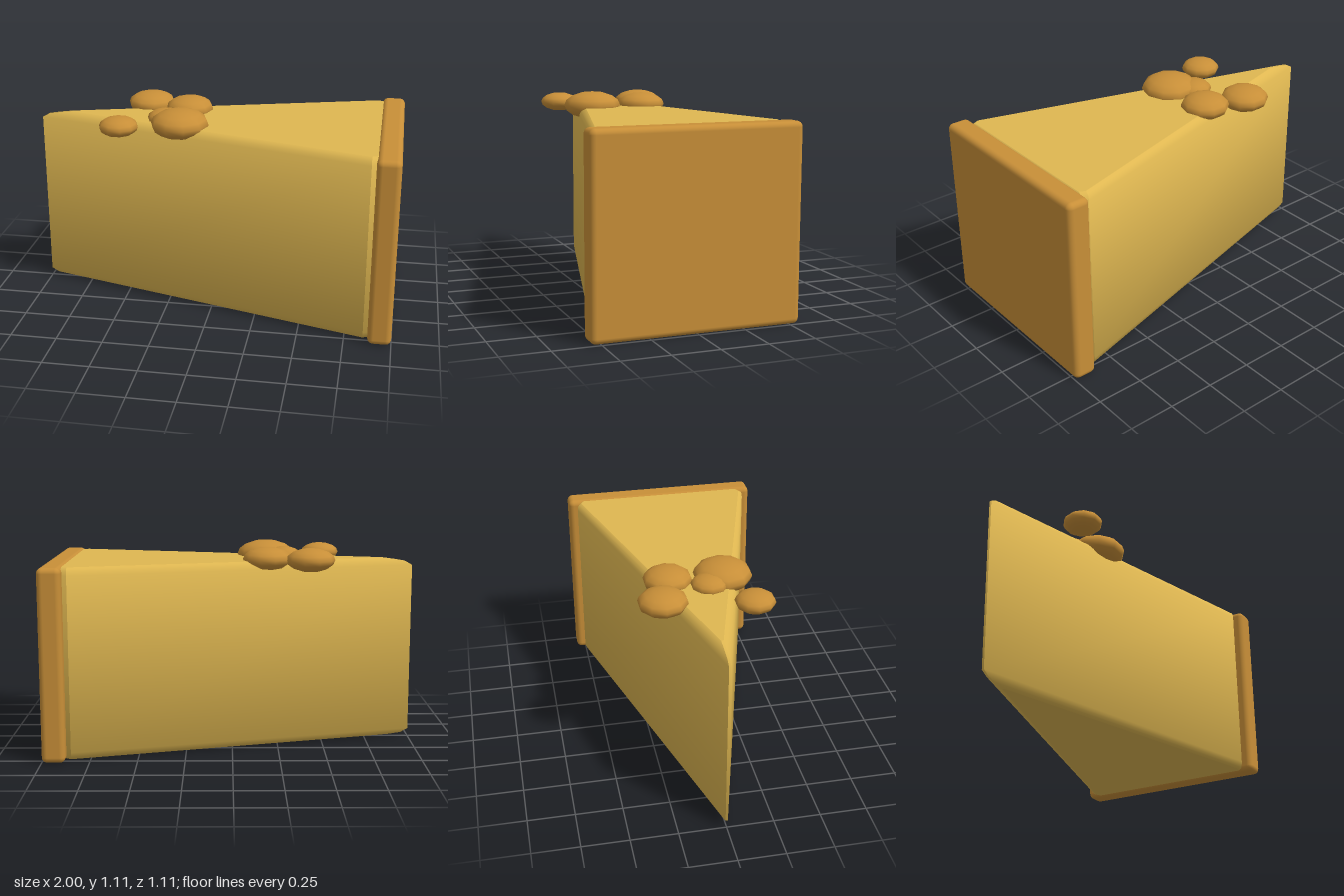
import * as THREE from 'three';
import { RoundedBoxGeometry } from 'three/addons/geometries/RoundedBoxGeometry.js';

const filling = new THREE.MeshStandardMaterial({ name: 'golden filling', color: 0xdfb751 });
const crustBrown = new THREE.MeshStandardMaterial({ name: 'crust brown', color: 0xc88f38 });

// Outline of the slice seen from above: pointed at -x, wide at +x
const outline = (tipX, halfWidth) => [
  [tipX, 0.006], [0.85, halfWidth], [0.88, halfWidth - 0.015],
  [0.88, 0.015 - halfWidth], [0.85, -halfWidth], [tipX, -0.006],
];

// Wedge built from stacked outlines, with softly shaded sides and flat caps
function wedgeGeometry() {
  const layers = [
    [0.005, -0.83, 0.482], [0.012, -0.9, 0.495], [0.022, -0.96, 0.503], [0.045, -1, 0.505],
    [0.98, -1, 0.505], [1.003, -0.96, 0.503], [1.013, -0.9, 0.495], [1.022, -0.83, 0.482],
  ];
  const pos = [], nor = [], idx = [];
  const add = (x, y, z, n) => { pos.push(x, y, z); nor.push(n.x, n.y, n.z); };
  const tilts = [-2, -1.1, -0.7, -0.4, 0.4, 0.7, 1.1, 2];
  // Side bands: separate corners for every outline edge keep vertical edges crisp
  for (let e = 0; e < 6; e++) {
    const base = pos.length / 3;
    const ring = outline(-1, 0.505);
    const a = ring[e], b = ring[(e + 1) % 6];
    layers.forEach(([y, tip, w], i) => {
      const o = outline(tip, w);
      const n = new THREE.Vector3(a[1] - b[1], 0, b[0] - a[0]).normalize();
      n.y = tilts[i];
      n.normalize();
      for (const p of [o[e], o[(e + 1) % 6]]) add(p[0], y, p[1], n);
      if (i > 0) {
        const k = base + 2 * i;
        idx.push(k - 2, k - 1, k + 1, k - 2, k + 1, k);
      }
    });
  }
  // Bottom and top caps
  for (const [layer, s] of [[layers[0], -1], [layers[7], 1]]) {
    const base = pos.length / 3;
    const n = new THREE.Vector3(0, s, 0);
    for (const [x, z] of outline(layer[1], layer[2])) add(x, layer[0], z, n);
    for (let i = 1; i < 5; i++) {
      if (s > 0) idx.push(base, base + i, base + i + 1);
      else idx.push(base, base + i + 1, base + i);
    }
  }
  const g = new THREE.BufferGeometry();
  g.setAttribute('position', new THREE.Float32BufferAttribute(pos, 3));
  g.setAttribute('normal', new THREE.Float32BufferAttribute(nor, 3));
  // Orient every triangle to agree with its outward normals
  const P = (i) => new THREE.Vector3().fromArray(pos, 3 * i);
  for (let t = 0; t < idx.length; t += 3) {
    const [a, b, c] = idx.slice(t, t + 3);
    const face = P(b).sub(P(a)).cross(P(c).sub(P(a)));
    const out = new THREE.Vector3();
    for (const i of [a, b, c]) out.add(new THREE.Vector3().fromArray(nor, 3 * i));
    if (face.dot(out) < 0) [idx[t + 1], idx[t + 2]] = [c, b];
  }
  g.setIndex(idx);
  return g;
}

export function createModel() {
  const model = new THREE.Group();
  model.name = 'pieSlice';
  const part = (name, geometry, material, x, y, z) => {
    const mesh = new THREE.Mesh(geometry, material);
    mesh.name = name;
    mesh.position.set(x, y, z);
    model.add(mesh);
    return mesh;
  };

  part('wedge', wedgeGeometry(), filling, 0, 0, 0);
  part('backCrust', new RoundedBoxGeometry(0.125, 1.025, 1.106, 3, 0.03), crustBrown, 0.9375, 0.5125, 0);

  // Flattened crumbs scattered near the tip: x, z, radius, half height
  const crumbs = [
    [-0.19, 0.145, 0.158, 0.078], [-0.19, -0.15, 0.132, 0.065], [-0.42, -0.215, 0.132, 0.064],
    [-0.503, 0.245, 0.106, 0.053], [-0.285, 0.055, 0.1, 0.05],
  ];
  const ball = new THREE.SphereGeometry(1, 10, 8);
  crumbs.forEach(([x, z, r, h], i) => {
    part('crumb' + (i + 1), ball, crustBrown, x, 1.03, z).scale.set(r, h, r);
  });
  return model;
}
